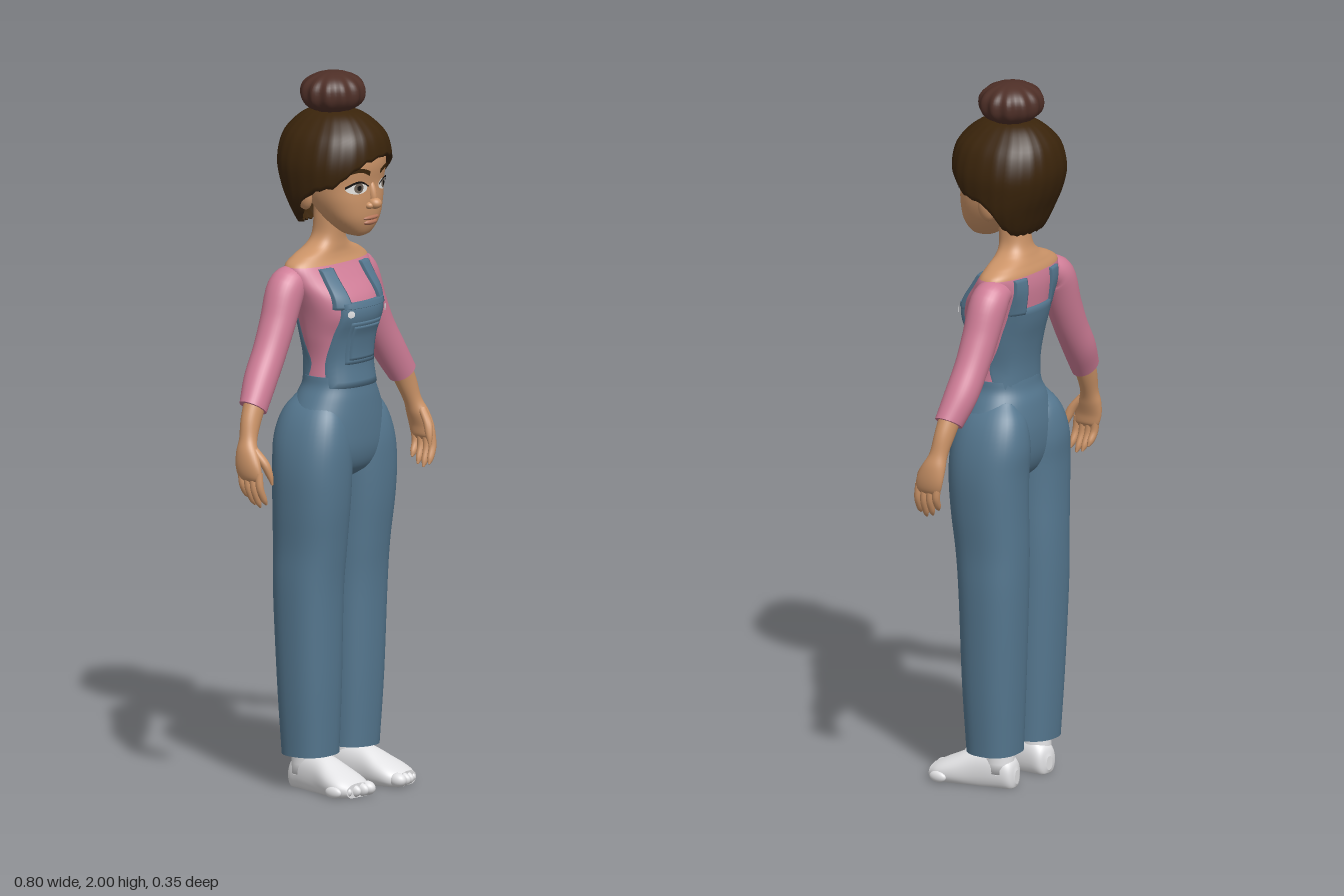
import * as THREE from 'three';

const mat = (name, color) => new THREE.MeshStandardMaterial({ name, color, side: THREE.DoubleSide });
const V = (x, y, z) => new THREE.Vector3(x, y, z);
const spow = (v, p) => Math.sign(v) * Math.pow(Math.abs(v), p);

// Smooth interpolation of sections [x, y, z, halfWidth, halfDepth]
function spline(secs) {
  const path = new THREE.CatmullRomCurve3(secs.map(s => V(s[0], s[1], s[2])), false, 'catmullrom', 0.5);
  const size = new THREE.CatmullRomCurve3(secs.map(s => V(s[3], s[4], 0)), false, 'catmullrom', 0.5);
  return t => {
    const p = path.getPoint(t), r = size.getPoint(t), d = path.getTangent(t);
    const l = Math.hypot(d.x, d.y) || 1;
    return { p, a: Math.max(r.x, 0.001), b: Math.max(r.y, 0.001), ux: d.y / l, uy: -d.x / l };
  };
}
// Upright sections given as [y, zFront, zBack, halfWidth]
const upright = rows => rows.map(([y, f, b, w]) => [0, y, (f + b) / 2, w, (f - b) / 2]);

// Position on an upright body at height y
function atHeight(sp, y) {
  let lo = 0, hi = 1;
  for (let i = 0; i < 26; i++) {
    const m = (lo + hi) / 2;
    if (sp(m).p.y < y) lo = m; else hi = m;
  }
  return sp(lo);
}

// Welded grid from rows of points, closed around each row
function ringGeometry(rows) {
  const n = rows[0].length, pos = [], idx = [];
  rows.forEach(r => r.forEach(p => pos.push(p.x, p.y, p.z)));
  for (let r = 0; r < rows.length - 1; r++) for (let c = 0; c < n; c++) {
    const a = r * n + c, d = r * n + (c + 1) % n;
    idx.push(a, a + n, d, d, a + n, d + n);
  }
  const g = new THREE.BufferGeometry();
  g.setAttribute('position', new THREE.Float32BufferAttribute(pos, 3));
  g.setIndex(idx);
  g.computeVertexNormals();
  return g;
}

// Capped loft of superelliptic cross-sections
function loft(secs, e = 2, n = 36, from = 0, to = 1) {
  const sp = spline(secs), steps = (secs.length - 1) * 5, rows = [];
  const row = (t, k) => {
    const { p, a, b, ux, uy } = sp(t), out = [];
    for (let i = 0; i < n; i++) {
      const f = i / n * Math.PI * 2;
      const u = k * a * spow(Math.cos(f), 2 / e), v = k * b * spow(Math.sin(f), 2 / e);
      out.push(V(p.x + ux * u, p.y + uy * u, p.z + v));
    }
    rows.push(out);
  };
  row(from, 0); row(from, 1);
  for (let i = 0; i <= steps; i++) row(from + (to - from) * i / steps, 1);
  row(to, 1); row(to, 0);
  return ringGeometry(rows);
}

// Thin patch laid over the front (side 1) or back (side -1) of an upright body
function patch(secs, e, fn, off, { side = 1, skirt = true, nx = 16, ny = 16 } = {}) {
  const g = new THREE.PlaneGeometry(1, 1, nx, ny), P = g.attributes.position, sp = spline(secs);
  for (let j = 0; j <= ny; j++) for (let i = 0; i <= nx; i++) {
    const edge = skirt && (i === 0 || j === 0 || i === nx || j === ny);
    const k = skirt ? 1 : 0, cl = (q, m) => (Math.min(Math.max(q, k), m - k) - k) / (m - 2 * k);
    const [x, y] = fn(cl(i, nx), 1 - cl(j, ny));
    const { p, a, b } = atHeight(sp, y);
    const z = b * Math.pow(Math.max(0, 1 - Math.pow(Math.abs(x / a), e)), 1 / e) + (edge ? -0.004 : off);
    P.setXYZ(j * (nx + 1) + i, x, y, p.z + side * z);
  }
  g.computeVertexNormals();
  return g;
}
const quad = (x0, x1, y0, y1, taper = 0) => (u, v) => [(x0 + (x1 - x0) * u) * (1 - taper * v), y0 + (y1 - y0) * v];
const disc = (cx, cy, rx, ry) => (u, v) =>
  [cx + rx * v * Math.cos(u * 2 * Math.PI), cy + ry * v * Math.sin(u * 2 * Math.PI)];

const TORSO = upright([
  [1.12, .075, -.085, .107], [1.2, .065, -.085, .1], [1.27, .072, -.095, .11], [1.33, .092, -.11, .122],
  [1.38, .08, -.117, .137], [1.43, .04, -.12, .155], [1.468, .012, -.115, .157], [1.492, .002, -.105, .125],
  [1.515, 0, -.095, .072], [1.545, 0, -.085, .047], [1.6, .005, -.08, .044], [1.66, .01, -.08, .044]]);
const HEAD = upright([
  [1.55, .075, .045, .012], [1.562, .094, .015, .042], [1.6, .11, -.03, .078], [1.65, .114, -.075, .102],
  [1.7, .113, -.1, .113], [1.76, .12, -.12, .12], [1.82, .105, -.12, .112], [1.87, .05, -.08, .06]]);
const HAIR = upright([
  [1.56, .01, -.09, .085], [1.6, .04, -.115, .112], [1.65, .08, -.137, .138], [1.7, .118, -.16, .148],
  [1.76, .132, -.174, .15], [1.82, .124, -.165, .132], [1.86, .095, -.14, .1], [1.89, .05, -.1, .06],
  [1.902, -.02, -.04, .004]]);

// Hair shell whose lower edge follows the hairline around the head
function hairGeometry() {
  const line = [[0, 1.778], [25, 1.766], [45, 1.735], [60, 1.7], [80, 1.69], [92, 1.67], [108, 1.61], [130, 1.585], [181, 1.58]];
  const hairline = deg => {
    const d = Math.abs(deg);
    const i = Math.max(1, line.findIndex(q => q[0] > d)), [a, p] = line[i - 1], [b, q] = line[i];
    return p + (q - p) * (d - a) / (b - a);
  };
  const sp = spline(HAIR), n = 96, rows = [];
  for (let j = -1; j <= 24; j++) {
    const row = [];
    for (let i = 0; i < n; i++) {
      const f = Math.PI / 2 + i / n * Math.PI * 2;
      let deg = 90 - f * 180 / Math.PI;
      deg = ((deg + 540) % 360) - 180;
      // parting sits slightly to the left
      const shift = 10 * Math.cos(deg * Math.PI / 360);
      const h = hairline(Math.max(-180, Math.min(180, deg - shift))) + 0.003 * Math.cos(i / n * Math.PI * 48);
      const { p, a, b } = atHeight(sp, h + (1.9 - h) * Math.sin(Math.max(j, 0) / 24 * Math.PI / 2));
      const k = (j < 0 ? 0.82 : 1) * (1 + 0.006 * Math.cos(i / n * Math.PI * 48));
      row.push(V(k * a * spow(Math.cos(f), 2 / 2.3), p.y, p.z + k * b * spow(Math.sin(f), 2 / 2.3)));
    }
    rows.push(row);
  }
  return ringGeometry(rows);
}

export function createModel() {
  const M = {
    skin: mat('skin', 0xcc9468), lips: mat('lips', 0xb4755a), hair: mat('dark brown hair', 0x3a240b),
    bun: mat('reddish brown bun', 0x4e2f27), denim: mat('blue denim', 0x55778f), shirt: mat('pink shirt', 0xcf7d97),
    sock: mat('white sock', 0xe2e2e4), eye: mat('eye white', 0xf0eeea), iris: mat('grey brown iris', 0x6f6358),
    dark: mat('black', 0x15110f) };
  const root = new THREE.Group();
  const add = (name, g, m) => {
    const mesh = new THREE.Mesh(g, m);
    mesh.name = name;
    root.add(mesh);
    return mesh;
  };
  const ball = (name, m, p, s) => {
    const b = add(name, new THREE.SphereGeometry(1, 24, 16), m);
    b.position.set(...p);
    b.scale.set(...s);
    return b;
  };

  // Torso: shirt below, bare shoulders and neck above
  const split = 6 / 11;
  add('shirtBody', loft(TORSO, 2.3, 48, 0, split), M.shirt);
  add('shouldersAndNeck', loft(TORSO, 2.3, 48, split, 1), M.skin);

  // Dungaree bib, pocket, back panel
  const onTorso = (name, fn, off, side = 1) => add(name, patch(TORSO, 2.3, fn, off, { side }), M.denim);
  onTorso('bib', quad(-.098, .098, 1.13, 1.368, .14), .012);
  onTorso('bibHem', quad(-.085, .085, 1.355, 1.37), .016);
  onTorso('pocketFrame', quad(-.062, .062, 1.195, 1.315), .015);
  onTorso('pocket', quad(-.052, .052, 1.207, 1.303), .019);
  onTorso('backPanel', quad(-.099, .099, 1.12, 1.375), .008, -1);

  // Trousers: pelvis
  add('trouserHips', loft(upright([[.87, .03, -.07, .06], [.9, .07, -.1, .14], [.95, .088, -.118, .18], [1.02, .091, -.122, .165],
    [1.09, .088, -.112, .132], [1.13, .083, -.098, .111], [1.16, .08, -.093, .106]]), 2.2, 48), M.denim);

  for (const s of [1, -1]) {
    const side = s > 0 ? 'left' : 'right';
    // Straps and buttons
    onTorso(side + 'FrontStrap', quad(s * .062, s * .104, 1.355, 1.462), .012);
    onTorso(side + 'BackStrap', quad(s * .058, s * .1, 1.36, 1.465), .009, -1);
    add(side + 'Button', patch(TORSO, 2.3, disc(s * .074, 1.342, .01, .01), .021, { skirt: false }), M.sock);

    // Trouser leg [y, zFront, zBack, inner x, outer x]
    add(side + 'TrouserLeg', loft([[.1, .04, -.11, .012, .165], [.3, .05, -.12, .008, .178], [.55, .058, -.13, .006, .187],
      [.68, .07, -.132, .004, .187], [.8, .084, -.131, .003, .194], [.9, .09, -.132, .002, .195], [.98, .088, -.136, .004, .181],
      [1.05, .072, -.122, .01, .15], [1.1, .04, -.09, .03, .11]].map(([y, f, b, i, o]) =>
      [s * (i + o) / 2, y, (f + b) / 2, (o - i) / 2, (f - b) / 2]), 2.35), M.denim);

    // Foot with toes, turned slightly outward
    const foot = loft([[0, -.102, -.03, .012, .02], [0, -.09, -.035, .035, .045], [0, -.05, -.045, .043, .062], [0, .02, -.04, .05, .062],
      [0, .08, -.03, .062, .045], [0, .12, -.022, .062, .034], [0, .15, -.018, .045, .022]], 2.2);
    foot.rotateX(Math.PI / 2);
    const P = foot.attributes.position;
    for (let i = 0; i < P.count; i++) P.setY(i, Math.max(0, P.getY(i)));
    foot.rotateY(s * .12);
    foot.translate(s * .09, 0, 0);
    foot.computeVertexNormals();
    add(side + 'Foot', foot, M.sock);
    add(side + 'Ankle', loft([[s * .088, .04, -.05, .04, .045], [s * .088, .2, -.04, .038, .045]]), M.sock);
    for (let i = 0; i < 5; i++) {
      const r = i ? .0145 - i * .0008 : .02;
      ball(side + 'Toe', M.sock, [s * (.068 + i * .024), .02 - i * .001, .147 - i * i * .0026], [r, .02 - i * .001, .027]);
    }

    // Arm: sleeve, forearm and palm
    const sleeve = [[.115, 1.435, -.062, .04, .045], [.16, 1.408, -.064, .054, .053], [.2, 1.32, -.062, .05, .05],
      [.238, 1.245, -.06, .048, .047], [.285, 1.17, -.056, .047, .046], [.328, 1.103, -.046, .043, .038]];
    const hand = [[.315, 1.125, -.046, .034, .03], [.343, 1.07, -.042, .031, .027], [.362, 1.02, -.036, .024, .026], [.374, .985, -.028, .024, .036],
      [.381, .95, -.02, .02, .042], [.38, .92, -.014, .015, .04], [.377, .908, -.012, .004, .03]];
    const flip = secs => secs.map(([x, ...r]) => [s * x, ...r]);
    add(side + 'Sleeve', loft(flip(sleeve)), M.shirt);
    add(side + 'Hand', loft(flip(hand)), M.skin);
    // Fingers and thumb
    for (let i = 0; i < 4; i++) {
      const z = -.044 + i * .02, l = [.066, .084, .09, .08][i];
      add(side + 'Finger', loft(flip([[.38, .935, z, .011, .011], [.38, .925 - l * .4, z + .004, .011, .011], [.367, .925 - l * .8, z + .007, .0095, .009],
        [.358, .925 - l, z + .009, .003, .003]]), 2, 12), M.skin);
    }
    add(side + 'Thumb', loft(flip([[.37, 1.0, -.012, .012, .014], [.36, .962, .018, .013, .014], [.352, .93, .03, .01, .011],
      [.347, .9, .037, .003, .003]]), 2, 12), M.skin);

    // Ear
    ball(side + 'Ear', M.skin, [s * .124, 1.668, -.03], [.016, .04, .026]).rotation.z = -s * .2;

    // Eye, lash line and brow
    const onHead = (name, fn, off, m) => add(side + name, patch(HEAD, 2.3, fn, off, { skirt: false, nx: 24, ny: 6 }), m);
    const arc = (h, y, w0, w1, x0, x1) => (u, v) =>
      [s * (x0 + (x1 - x0) * u), y + h * Math.sin(u * Math.PI) + (v - .5) * (w0 + (w1 - w0) * u)];
    onHead('EyeWhite', disc(s * .055, 1.694, .031, .016), .002, M.eye);
    onHead('Iris', disc(s * .053, 1.695, .0135, .0145), .0035, M.iris);
    onHead('Pupil', disc(s * .053, 1.695, .0065, .007), .005, M.dark);
    onHead('LashLine', arc(.015, 1.697, .004, .008, .023, .088), .006, M.dark);
    onHead('Eyebrow', arc(.012, 1.733, .014, .007, .022, .092), .005, M.hair);
    ball(side + 'Nostril', M.skin, [s * .016, 1.642, .113], [.012, .01, .014]);
  }

  // Head, nose and mouth
  add('head', loft(HEAD, 2.3, 48), M.skin);
  ball('noseTip', M.skin, [0, 1.647, .121], [.018, .016, .02]);
  ball('noseBridge', M.skin, [0, 1.675, .112], [.011, .036, .013]).rotation.x = -.2;
  ball('upperLip', M.lips, [0, 1.606, .105], [.034, .0075, .013]);
  ball('lowerLip', M.lips, [0, 1.593, .102], [.029, .009, .014]);

  // Hair and ridged bun
  add('hair', hairGeometry(), M.hair);
  const bun = new THREE.SphereGeometry(1, 96, 24), B = bun.attributes.position;
  for (let i = 0; i < B.count; i++) {
    const k = 1 + .045 * Math.cos(12 * Math.atan2(B.getZ(i), B.getX(i))) * Math.hypot(B.getX(i), B.getZ(i));
    B.setXYZ(i, B.getX(i) * .091 * k, 1.942 + .058 * spow(B.getY(i), .85), -.027 + B.getZ(i) * .086 * k);
  }
  bun.computeVertexNormals();
  add('hairBun', bun, M.bun);
  return root;
}
